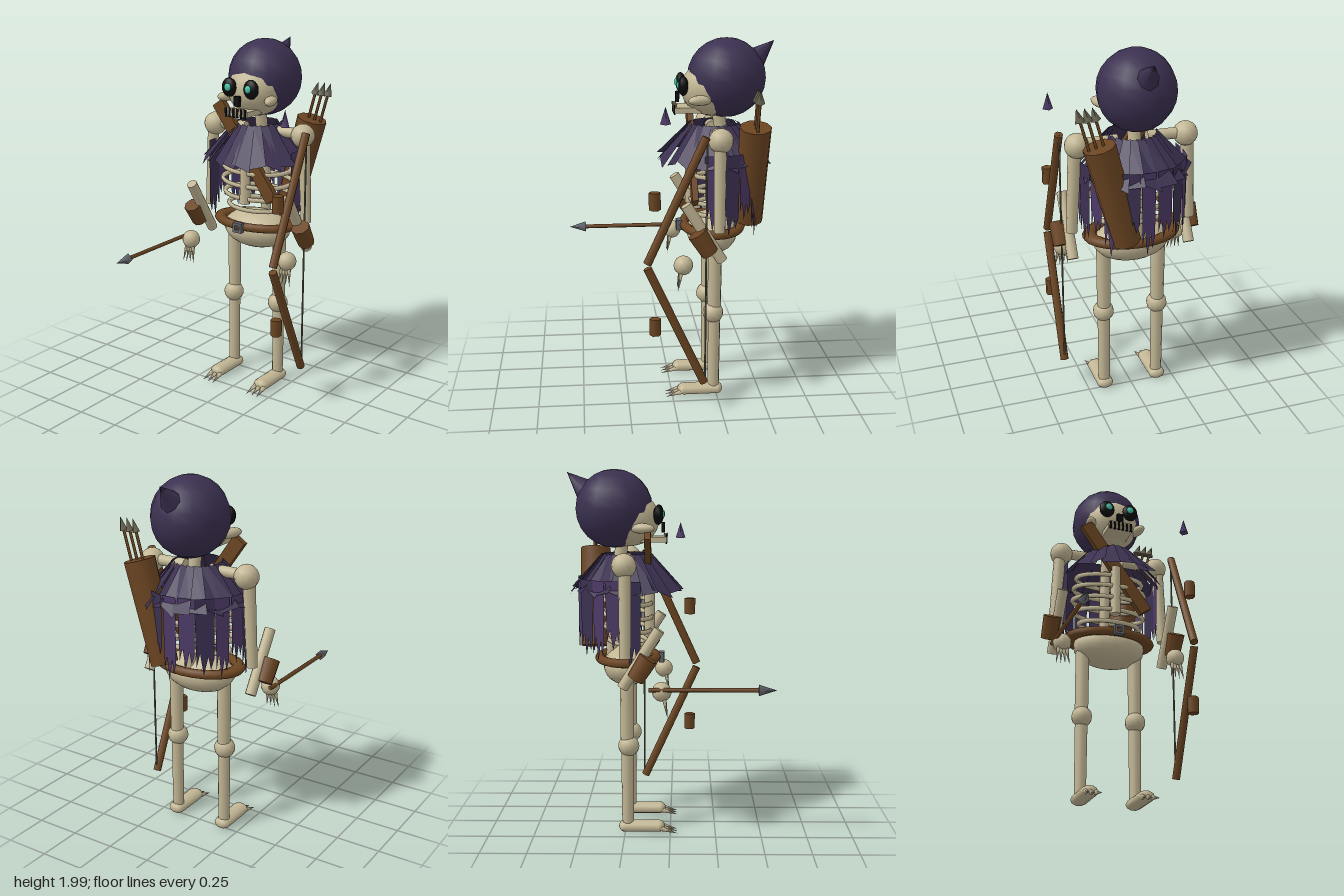
import * as THREE from 'three';

const mat = (name, color, opts = {}) => {
  const m = new THREE.MeshStandardMaterial({ color, ...opts });
  m.name = name;
  return m;
};

export function createModel() {
  const model = new THREE.Group();
  model.name = 'skeletonArcher';
  const bone = mat('bone', 0xc2b694);
  const cloth = mat('dark cloth', 0x3b3050, { side: THREE.DoubleSide });
  const rag = mat('purple rag', 0x4d3a68, { side: THREE.DoubleSide });
  const leather = mat('leather', 0x6b4522);
  const steel = mat('steel', 0x62656c);
  const oldIron = mat('old iron', 0x6a6654);
  const black = mat('black', 0x0b0b0d);
  const glow = mat('eye glow', 0x45c4a6);
  const flatCloth = cloth.clone();
  flatCloth.flatShading = true;

  const V = (x, y, z) => new THREE.Vector3(x, y, z);
  const add = (name, geo, material, x = 0, y = 0, z = 0) => {
    const m = new THREE.Mesh(geo, material);
    m.name = name;
    m.position.set(x, y, z);
    model.add(m);
    return m;
  };
  // Cylinder or cone from point a to point b
  const rod = (name, a, b, ra, rb, material, sides = 10) => {
    const d = b.clone().sub(a);
    const m = add(name, new THREE.CylinderGeometry(rb, ra, d.length(), sides), material);
    m.position.copy(a).addScaledVector(d, 0.5);
    m.quaternion.setFromUnitVectors(V(0, 1, 0), d.normalize());
    return m;
  };
  const ball = (name, p, r, material, sx = 1, sy = 1, sz = 1, seg = 12) => {
    const m = add(name, new THREE.SphereGeometry(r, seg, Math.max(8, seg - 2)), material, ...p);
    m.scale.set(sx, sy, sz);
    return m;
  };
  const box = (name, w, h, d, material, x, y, z) =>
    add(name, new THREE.BoxGeometry(w, h, d), material, x, y, z);

  // Head and hood
  ball('skull', [0, 1.735, -0.225], 0.16, bone, 1, 0.93, 1.03, 16);
  ball('hood', [0, 1.79, -0.305], 0.212, cloth, 0.97, 1, 1, 14);
  rod('hoodPeak', V(0, 1.865, -0.435), V(0, 1.985, -0.56), 0.08, 0, cloth, 8);
  box('jaw', 0.15, 0.03, 0.14, bone, 0, 1.625, -0.092);
  box('nose', 0.036, 0.055, 0.02, black, 0, 1.69, -0.04);
  for (let i = 0; i < 6; i++)
    box('toothGap', 0.012, 0.05, 0.008, black, -0.0625 + i * 0.025, 1.628, -0.022);
  for (let i = 0; i < 5; i++) {
    const x = -0.05 + i * 0.025;
    rod('tooth', V(x, 1.655, -0.026), V(x, 1.605, -0.02), 0.011, 0.002, bone, 4);
  }

  // Spine, breastbone and ribs
  rod('spine', V(0, 0.93, -0.33), V(0, 1.5, -0.31), 0.03, 0.03, bone);
  rod('neck', V(0, 1.45, -0.29), V(0, 1.68, -0.25), 0.035, 0.035, bone);
  rod('breastbone', V(0, 1.1, -0.115), V(0, 1.4, -0.115), 0.03, 0.03, bone, 8);
  [[1.36, 0.2], [1.29, 0.215], [1.215, 0.22], [1.14, 0.205], [1.07, 0.18]].forEach(([y, r]) => {
    const rib = add('rib', new THREE.TorusGeometry(r, 0.014, 6, 24), bone, 0, y, -0.235);
    rib.rotation.x = Math.PI / 2 + 0.1;
    rib.scale.y = 0.62;
  });

  // Pelvis, belt and buckle
  ball('pelvis', [0, 0.93, -0.235], 0.21, bone, 1, 0.53, 0.66, 16);
  const belt = add('belt', new THREE.TorusGeometry(0.23, 0.04, 8, 24), leather, 0, 0.975, -0.235);
  belt.rotation.x = Math.PI / 2;
  belt.scale.set(1, 0.68, 0.62);
  for (const s of [-1, 1]) {
    box('buckleSide', 0.014, 0.056, 0.03, steel, s * 0.021, 0.974, -0.05);
    box('buckleBar', 0.056, 0.014, 0.03, steel, 0, 0.974 + s * 0.021, -0.05);
  }

  // Mirrored face details, arms and legs
  for (const s of [-1, 1]) {
    ball('eyeSocket', [s * 0.072, 1.757, -0.065], 0.046, black, 1, 1.15, 0.6);
    ball('eyeGlow', [s * 0.066, 1.76, -0.041], 0.021, glow, 1, 1, 0.5, 8);
    const cheek = ball('cheekbone', [s * 0.143, 1.69, -0.15], 0.032, bone, 1, 0.85, 2.2);
    cheek.rotation.y = s * 0.3;

    rod('collarBone', V(s * 0.08, 1.51, -0.24), V(s * 0.29, 1.51, -0.24), 0.03, 0.03, bone);
    ball('shoulder', [s * 0.295, 1.503, -0.24], 0.066, bone);
    rod('upperArm', V(s * 0.33, 1.02, -0.235), V(s * 0.305, 1.5, -0.235), 0.03, 0.035, bone);
    const top = V(s * 0.33, 1.175, -0.055), end = V(s * 0.33, 0.865, -0.25);
    rod('forearm', end, top, 0.03, 0.03, bone);
    const dir = end.clone().sub(top).normalize();
    const mid = V(s * 0.37, 0.975, -0.145);
    rod('bracer', mid.clone().addScaledVector(dir, -0.065),
      mid.clone().addScaledVector(dir, 0.065), 0.052, 0.046, leather, 8);
    ball('hand', [s * 0.331, 0.845, -0.043], 0.052, bone);
    for (let i = 0; i < 4; i++) {
      const f = i - 1.5;
      rod('finger', V(s * 0.331 + f * 0.015, 0.81, -0.03),
        V(s * 0.331 + f * 0.025, 0.71, -0.012), 0.012, 0, bone, 6);
    }

    const x = s * 0.156;
    rod('thigh', V(x, 0.5, -0.235), V(x, 0.92, -0.235), 0.037, 0.039, bone);
    rod('shin', V(x, 0.04, -0.235), V(x, 0.5, -0.235), 0.032, 0.035, bone);
    ball('knee', [x, 0.503, -0.228], 0.058, bone);
    const foot = add('foot', new THREE.CapsuleGeometry(0.032, 0.19, 4, 10), bone, x, 0.043, -0.158);
    foot.rotation.x = Math.PI / 2;
    foot.scale.x = 1.48;
    for (let i = -1; i <= 1; i++)
      rod('toeClaw', V(x + i * 0.027, 0.036, -0.05), V(x + i * 0.036, 0.012, 0.04), 0.016, 0, bone, 6);
  }

  // Pleated collar of overlapping flaring panels
  const pts = [], n = 22;
  const ring = (a, r, y) => [Math.sin(a) * r * 0.97, y, -0.24 + Math.cos(a) * r];
  for (let i = 0; i < n; i++) {
    const a = (i / n) * Math.PI * 2, h = Math.PI / n * 1.3;
    const drop = 0.02 * Math.sin(i * 2.4), out = 0.012 * Math.sin(i * 1.7);
    const tl = ring(a - h, 0.125, 1.55), tr = ring(a + h, 0.14, 1.545);
    const bl = ring(a - h, 0.285 + out, 1.355 + drop), br = ring(a + h, 0.318 + out, 1.345 - drop);
    pts.push(...tl, ...bl, ...br, ...tl, ...br, ...tr);
  }
  const collar = new THREE.BufferGeometry();
  collar.setAttribute('position', new THREE.Float32BufferAttribute(pts, 3));
  collar.computeVertexNormals();
  add('collar', collar, flatCloth);

  // Tattered strips hanging around the back
  for (let i = 0; i < 11; i++) {
    const a = Math.PI + (i - 5) * 0.34;
    const w = 0.046 + 0.008 * Math.sin(i * 2.1), len = 0.41 + 0.06 * Math.sin(i * 2.7);
    const shape = new THREE.Shape([
      [-w, 0], [w, 0], [w * 0.95, -len * 0.78], [w * 0.6, -len * 0.92], [w * 0.35, -len * 0.75],
      [-w * 0.1, -len], [-w * 0.45, -len * 0.7], [-w * 0.8, -len * 0.88],
    ].map(p => new THREE.Vector2(...p)));
    const strip = add('capeStrip', new THREE.ShapeGeometry(shape), i % 3 === 1 ? flatCloth : rag,
      Math.sin(a) * 0.28, 1.42, -0.24 + Math.cos(a) * 0.265);
    strip.rotation.y = a + 0.25 * Math.sin(i * 3.1);
  }

  // Chest strap
  const strap = box('chestStrap', 0.075, 0.63, 0.034, leather, 0, 1.4, -0.12);
  strap.rotation.z = 0.62;

  // Quiver with three arrows
  const qBase = V(0.09, 1.02, -0.43), qTop = V(0.235, 1.56, -0.43);
  rod('quiver', qBase, qTop, 0.075, 0.085, leather, 10);
  for (let i = -1; i <= 1; i++) {
    const tip = V(0.31 + i * 0.04, 1.77, -0.432);
    const neck = V(tip.x - 0.02, 1.70, -0.432);
    rod('quiverArrowShaft', V(0.235 + i * 0.04, 1.5, -0.432), neck, 0.008, 0.008, leather, 6);
    rod('quiverArrowHead', neck, tip, 0.026, 0, oldIron, 4);
  }

  // Bow, string, wraps and tip spike
  const bx = 0.366;
  rod('upperLimb', V(bx, 0.87, 0.15), V(bx, 1.54, -0.155), 0.023, 0.023, leather, 8);
  rod('lowerLimb', V(bx, 0.845, 0.15), V(bx, 0.18, -0.155), 0.023, 0.023, leather, 8);
  rod('bowString', V(bx, 0.18, -0.16), V(bx, 1.54, -0.16), 0.005, 0.005, oldIron, 6);
  for (const y of [0.515, 1.21])
    rod('bowWrap', V(bx, y - 0.046, 0.11), V(bx, y + 0.046, 0.11), 0.031, 0.031, leather, 6);
  rod('bowSpike', V(bx, 1.61, 0.054), V(bx, 1.7, 0.054), 0.028, 0, rag, 4);

  // Arrow held in the right hand
  rod('arrowShaft', V(-0.369, 0.862, -0.11), V(-0.369, 0.862, 0.47), 0.012, 0.012, leather, 6);
  rod('arrowHead', V(-0.369, 0.862, 0.465), V(-0.369, 0.862, 0.56), 0.031, 0, steel, 4);

  return model;
}
